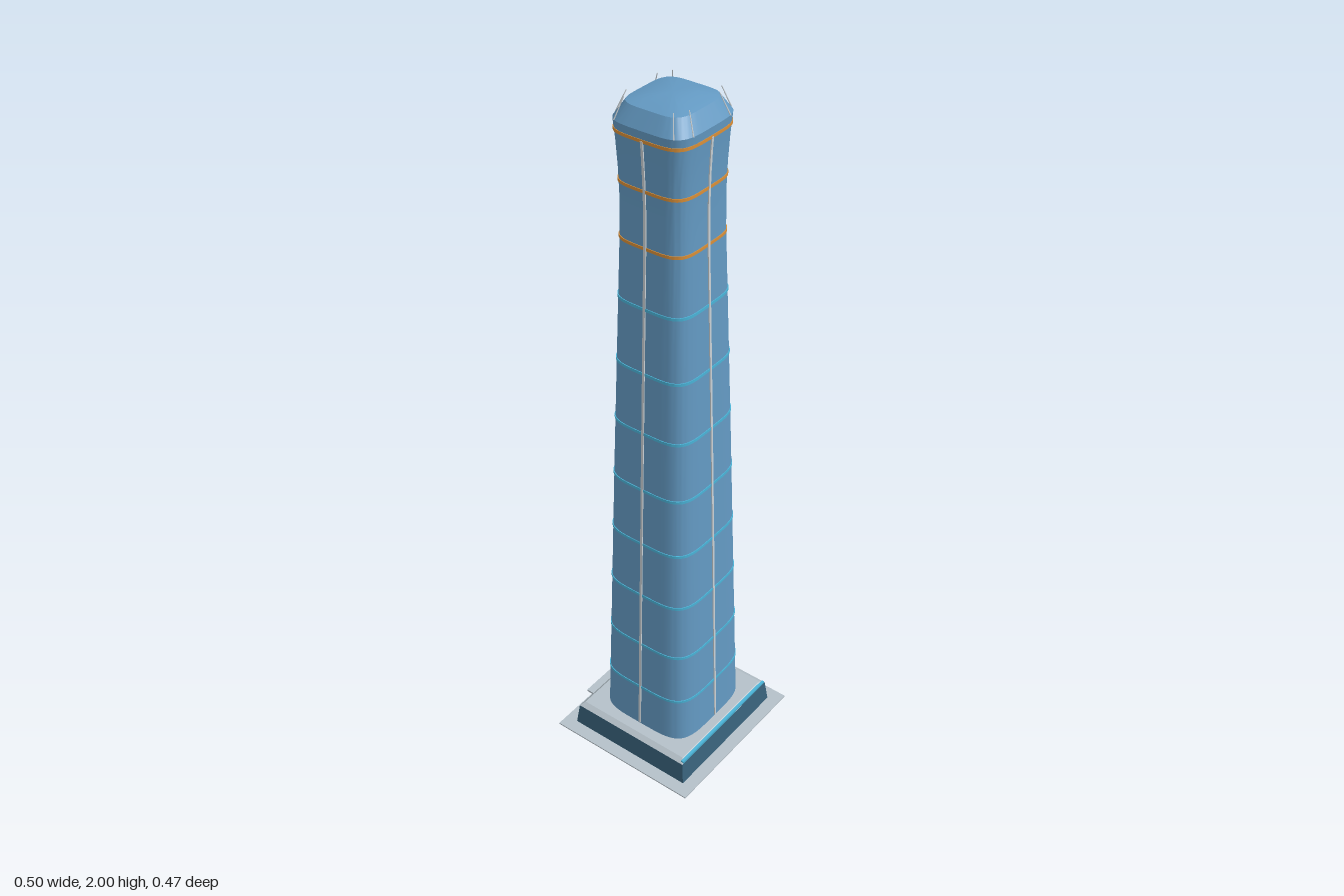
import * as THREE from 'three';
import { toCreasedNormals } from 'three/addons/utils/BufferGeometryUtils.js';

const mat = (name, color) => new THREE.MeshStandardMaterial({ name, color });

// Tower half widths by height: [y, halfX, halfZ]
const PROFILE = [
  [0.078, 0.158, 0.154], [0.5, 0.145, 0.141], [1.0, 0.129, 0.126], [1.4, 0.1155, 0.113],
  [1.64, 0.1075, 0.105], [1.74, 0.106, 0.1035], [1.82, 0.1085, 0.105],
  [1.89, 0.1125, 0.1085], [1.945, 0.117, 0.113],
];

function sizeAt(y) {
  let i = 0;
  while (i < PROFILE.length - 2 && PROFILE[i + 1][0] < y) i++;
  const [a, b] = [PROFILE[i], PROFILE[i + 1]];
  const t = (y - a[0]) / (b[0] - a[0]);
  return [a[1] + (b[1] - a[1]) * t, a[2] + (b[2] - a[2]) * t];
}

// Skin rounded-square sections stacked along y
function loft(levels, sides = 72, power = 4.4) {
  const pos = [], index = [];
  const bend = (v) => Math.sign(v) * Math.abs(v) ** (2 / power);
  levels.forEach(([y, rx, rz], i) => {
    for (let j = 0; j < sides; j++) {
      const t = (j / sides) * Math.PI * 2;
      pos.push(rx * bend(Math.cos(t)), y, rz * bend(Math.sin(t)));
      if (i === levels.length - 1) continue;
      const a = i * sides + j, b = i * sides + ((j + 1) % sides);
      index.push(a, a + sides, b, b, a + sides, b + sides);
    }
  });
  const g = new THREE.BufferGeometry();
  g.setAttribute('position', new THREE.Float32BufferAttribute(pos, 3));
  g.setIndex(index);
  return toCreasedNormals(g, 0.4);
}

// Box whose top is narrower than its bottom
function frustum(x0, z0, x1, z1, y0, y1) {
  const g = new THREE.BoxGeometry(2 * x0, y1 - y0, 2 * z0).translate(0, (y0 + y1) / 2, 0);
  const p = g.attributes.position;
  for (let i = 0; i < p.count; i++) {
    if (p.getY(i) > (y0 + y1) / 2) {
      p.setX(i, Math.sign(p.getX(i)) * x1);
      p.setZ(i, Math.sign(p.getZ(i)) * z1);
    }
  }
  g.computeVertexNormals();
  return g;
}

export function createModel() {
  const model = new THREE.Group();
  model.name = 'skyscraper';
  const glass = mat('blue glass', 0x6399c2);
  const dark = mat('dark blue glass', 0x38617a);
  const stone = mat('pale stone', 0xb4c0c8);
  const cyan = mat('cyan light', 0x4ab4d8);
  const orange = mat('orange light', 0xd98f38);
  const metal = mat('pale metal', 0xc9d0d4);
  const add = (name, geometry, material, parent = model) => {
    const m = new THREE.Mesh(geometry, material);
    m.name = name;
    parent.add(m);
    return m;
  };

  // Ground plaza and podium
  add('plaza', new THREE.BoxGeometry(0.5, 0.004, 0.47).translate(0, 0.002, 0), stone);
  add('podium', frustum(0.212, 0.198, 0.205, 0.19, 0.003, 0.07), dark);
  add('podiumRoof', frustum(0.205, 0.19, 0.19, 0.18, 0.07, 0.08), stone);
  add('podiumLightStrip', new THREE.BoxGeometry(0.4, 0.007, 0.008).translate(0, 0.0745, 0.1865), cyan);
  add('entranceCanopy', new THREE.BoxGeometry(0.24, 0.006, 0.042).translate(0, 0.036, -0.213), stone);

  // Tapered shaft flaring to the crown, then a stepped cap
  add('shaft', loft(PROFILE), glass);
  add('crown', loft([
    [1.945, 0.117, 0.113], [1.985, 0.092, 0.088], [1.997, 0.05, 0.046], [1.998, 0, 0],
  ]), glass);

  // Horizontal light bands
  const bands = new THREE.Group();
  bands.name = 'lightBands';
  model.add(bands);
  const addBand = (y, material) => {
    const [rx, rz] = sizeAt(y), h = 0.004, out = 0.0018;
    add('lightBand', loft([
      [y - h, rx - 0.002, rz - 0.002], [y - h, rx + out, rz + out],
      [y + h, rx + out, rz + out], [y + h, rx - 0.002, rz - 0.002],
    ]), material, bands);
  };
  [0.225, 0.39, 0.57, 0.75, 0.93, 1.11, 1.29, 1.475].forEach((y) => addBand(y, cyan));
  [1.64, 1.79, 1.92].forEach((y) => addBand(y, orange));

  // Vertical rib up the middle of each face
  for (let k = 0; k < 4; k++) {
    const heights = [0.085, 0.5, 1.0, 1.4, 1.64, 1.74, 1.82, 1.89, 1.92];
    const edge = (out) => heights.map((y) => new THREE.Vector2(sizeAt(y)[k % 2] + out, y));
    const shape = new THREE.Shape([...edge(0.003), ...edge(-0.004).reverse()]);
    const g = new THREE.ExtrudeGeometry(shape, { depth: 0.007, bevelEnabled: false });
    add('verticalRib', g.translate(0, 0, -0.0035), metal).rotation.y = (k * Math.PI) / 2;
  }

  // Slender fins leaning in around the crown corners
  const up = new THREE.Vector3(0, 1, 0);
  for (const sx of [-1, 1]) for (const sz of [-1, 1]) {
    for (const [x0, z0, x1, z1] of [[0.07, 0.111, 0.057, 0.089], [0.109, 0.085, 0.09, 0.07]]) {
      const a = new THREE.Vector3(sx * x0, 1.945, sz * z0);
      const b = new THREE.Vector3(sx * x1, 1.999, sz * z1);
      const fin = add('crownFin', new THREE.CylinderGeometry(0.0012, 0.0018, a.distanceTo(b), 6), metal);
      fin.position.copy(a).add(b).multiplyScalar(0.5);
      fin.quaternion.setFromUnitVectors(up, b.sub(a).normalize());
    }
  }
  return model;
}
